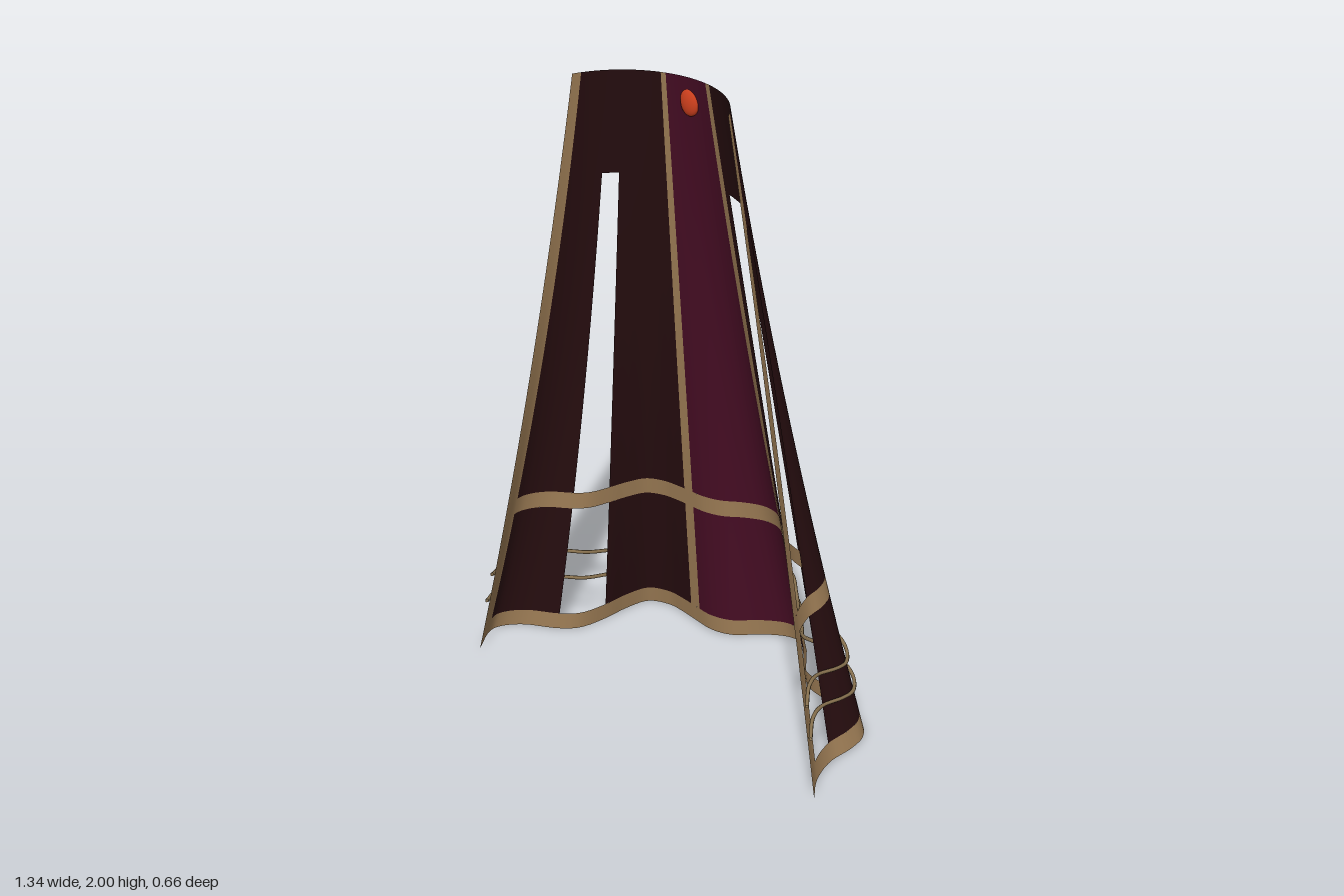
import * as THREE from 'three';

// Hem outline: u across the cape, then x and z on the ground
const HEM = [
  [0, -0.63, 0.325], [0.04, -0.67, 0.24], [0.09, -0.665, 0.185], [0.125, -0.61, 0.13],
  [0.155, -0.51, 0.083], [0.18, -0.455, 0.035], [0.211, -0.425, -0.055], [0.25, -0.41, -0.145],
  [0.285, -0.38, -0.225], [0.32, -0.31, -0.25], [0.35, -0.25, -0.243], [0.385, -0.185, -0.228],
  [0.425, -0.107, -0.213], [0.465, -0.034, -0.23], [0.51, 0.04, -0.29], [0.55, 0.12, -0.33],
  [0.59, 0.19, -0.315], [0.62, 0.237, -0.253], [0.655, 0.265, -0.21], [0.695, 0.32, -0.14],
  [0.736, 0.395, -0.113], [0.775, 0.47, -0.108], [0.815, 0.56, -0.08], [0.85, 0.61, -0.02],
  [0.885, 0.617, 0.055], [0.914, 0.605, 0.145], [0.96, 0.625, 0.245], [1, 0.67, 0.325],
];

// Smooth cubic through the hem points
function hemAt(u) {
  let i = 0;
  while (i < HEM.length - 2 && u > HEM[i + 1][0]) i++;
  const slope = (k, c) => {
    const a = HEM[Math.max(k - 1, 0)], b = HEM[Math.min(k + 1, HEM.length - 1)];
    return (b[c] - a[c]) / (b[0] - a[0]);
  };
  const a = HEM[i], b = HEM[i + 1], h = b[0] - a[0], s = (u - a[0]) / h;
  return [1, 2].map((c) =>
    a[c] * (2 * s ** 3 - 3 * s * s + 1) + b[c] * (3 * s * s - 2 * s ** 3) +
    h * (slope(i, c) * (s ** 3 - 2 * s * s + s) + slope(i + 1, c) * (s ** 3 - s * s)));
}

// Cone section whose angle is set by u
function arc(u, radius, halfAngle, cx) {
  const a = (2 * u - 1) * THREE.MathUtils.degToRad(halfAngle);
  return [cx + radius * Math.sin(a), 0.372 - radius * Math.cos(a)];
}

// Cape surface: a cone with folds that deepen towards the hem
function cape(u, y) {
  const t = 1 - y / 2;
  const top = arc(u, 0.296, 65, 0.018), base = arc(u, 0.637, 76, 0), hem = hemAt(u);
  const p = [0, 1].map((c) => top[c] + (base[c] - top[c]) * t + (hem[c] - base[c]) * t * t);
  return new THREE.Vector3(p[0], y, p[1]);
}

function capeNormal(u, y) {
  const e = 0.002, u0 = Math.max(u - e, 0), u1 = Math.min(u + e, 1);
  const du = cape(u1, y).sub(cape(u0, y));
  const dy = cape(u, y - e).sub(cape(u, y + e));
  return du.cross(dy).normalize();
}

// Rectangular piece of the cape surface
function patch(u0, u1, yLow, yHigh) {
  const nu = Math.max(2, Math.ceil((u1 - u0) / 0.008));
  const ny = Math.max(1, Math.ceil((yHigh - yLow) / 0.08));
  const pos = [], nor = [], index = [];
  for (let j = 0; j <= ny; j++) {
    for (let i = 0; i <= nu; i++) {
      const u = u0 + ((u1 - u0) * i) / nu, y = yHigh + ((yLow - yHigh) * j) / ny;
      pos.push(...cape(u, y).toArray());
      nor.push(...capeNormal(u, y).toArray());
      if (i < nu && j < ny) {
        const a = j * (nu + 1) + i, b = a + nu + 1;
        index.push(a, a + 1, b, a + 1, b + 1, b);
      }
    }
  }
  const g = new THREE.BufferGeometry();
  g.setAttribute('position', new THREE.Float32BufferAttribute(pos, 3));
  g.setAttribute('normal', new THREE.Float32BufferAttribute(nor, 3));
  g.setIndex(index);
  return g;
}

export function createModel() {
  const group = new THREE.Group();
  group.name = 'cape';
  const material = (name, color) => {
    const m = new THREE.MeshStandardMaterial({ color, side: THREE.DoubleSide });
    m.name = name;
    return m;
  };
  const dark = material('dark cloth', 0x280e10);
  const wine = material('wine cloth', 0x4a0e26);
  const tan = material('tan trim', 0xa5835a);
  const cord = material('cord', 0x8a7350);
  const red = material('red gem', 0xd8431f);
  const add = (name, geometry, mat) => {
    const mesh = new THREE.Mesh(geometry, mat);
    mesh.name = name;
    group.add(mesh);
    return mesh;
  };

  const HEM_TOP = 0.06, BAND_LOW = 0.475, BAND_HIGH = 0.535, SLIT_TOP = 1.67;

  // Cloth panels and upright trims, from -x to +x
  const columns = [
    ['rightEdgeTrim', 0, 0.04, tan],
    ['rightOuterPanel', 0.04, 0.155, dark],
    ['rightSlit', 0.155, 0.211, null],
    ['rightInnerPanel', 0.211, 0.375, dark],
    ['rightSeamTrim', 0.375, 0.397, tan],
    ['centrePanel', 0.397, 0.603, wine],
    ['leftSeamTrim', 0.603, 0.628, tan],
    ['leftInnerPanel', 0.628, 0.655, dark],
    ['leftInnerSlit', 0.655, 0.736, null],
    ['leftOuterPanel', 0.736, 0.914, dark],
    ['leftOuterSlit', 0.914, 0.96, null],
    ['leftEdgeTrim', 0.96, 1, tan],
  ];
  for (const [name, u0, u1, mat] of columns) {
    add(name + 'Top', patch(u0, u1, SLIT_TOP, 2), mat || dark);
    if (!mat) continue;
    add(name + 'Middle', patch(u0, u1, BAND_HIGH, SLIT_TOP), mat);
    add(name + 'Lower', patch(u0, u1, HEM_TOP, BAND_LOW), mat);
  }

  // Trims running all the way round
  add('hemTrim', patch(0, 1, 0, HEM_TOP), tan);
  add('bandTrim', patch(0, 1, BAND_LOW, BAND_HIGH), tan);

  // Wavy cords just outside the cloth
  for (const [name, height, swing] of [['upperCord', 0.283, 0.021], ['lowerCord', 0.183, 0.018]]) {
    const points = [];
    for (let i = 0; i <= 100; i++) {
      const u = i / 100;
      const y = height + swing * Math.cos((2 * Math.PI * (u - 0.15)) / 0.2);
      points.push(cape(u, y).addScaledVector(capeNormal(u, y), 0.009));
    }
    add(name, new THREE.TubeGeometry(new THREE.CatmullRomCurve3(points), 240, 0.006, 6), cord);
  }

  // Gem at the nape
  const gem = add('gem', new THREE.SphereGeometry(1, 24, 16), red);
  gem.scale.set(0.032, 0.045, 0.016);
  gem.position.set(0.016, 1.925, 0.06);

  return group;
}
